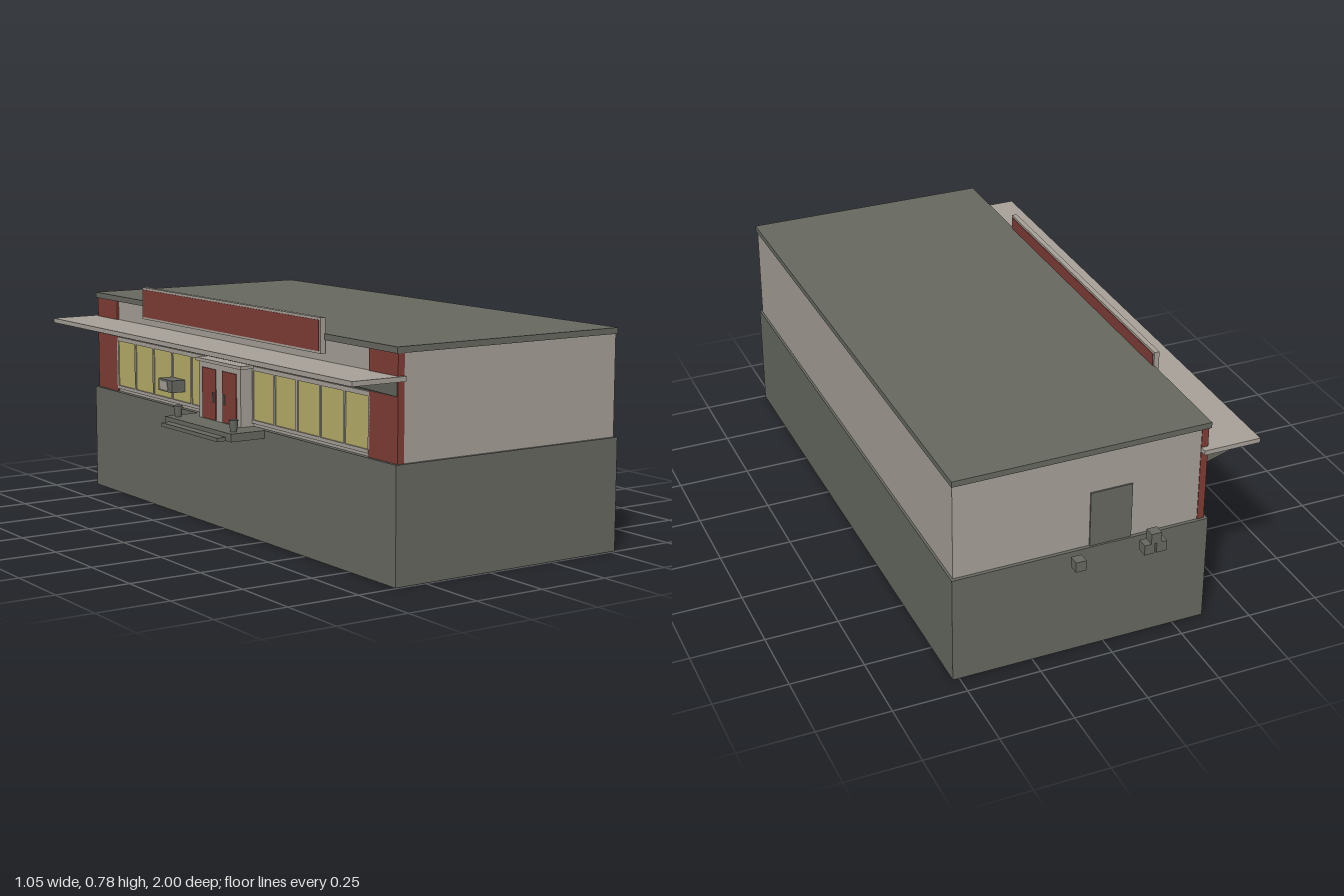
import * as THREE from 'three';

export function createModel() {
  const model = new THREE.Group();
  const mat = (name, color) => {
    const m = new THREE.MeshStandardMaterial({ color });
    m.name = name;
    return m;
  };
  const beige = mat('beige plaster', 0xa7a198);
  const grey = mat('dark grey', 0x676961);
  const red = mat('brick red', 0x803c36);
  const yellow = mat('yellow glass', 0xb9af69);

  // Box given by its minimum and maximum on each axis
  const box = (name, material, x0, x1, y0, y1, z0, z1) => {
    const mesh = new THREE.Mesh(new THREE.BoxGeometry(x1 - x0, y1 - y0, z1 - z0), material);
    mesh.position.set((x0 + x1) / 2, (y0 + y1) / 2, (z0 + z1) / 2);
    mesh.name = name;
    model.add(mesh);
    return mesh;
  };
  const mid = 0.033; // centre of the building along z

  // Main volume
  box('foundation', grey, -0.36, 0.522, 0, 0.377, -0.932, 0.995);
  box('walls', beige, -0.343, 0.514, 0.377, 0.713, -0.92, 0.985);
  box('roof', grey, -0.355, 0.519, 0.713, 0.733, -0.93, 0.99);

  // Red corner panels on the entrance side
  for (const s of [-1, 1]) {
    const inner = mid + s * 0.805, outer = mid + s * 0.955;
    box('cornerPanel', red, -0.35, -0.326, 0.377, 0.713, Math.min(inner, outer), Math.max(inner, outer));
  }

  // Canopy with a sloping soffit
  box('canopy', beige, -0.524, -0.326, 0.628, 0.644, -0.945, 0.998);
  const slope = new THREE.Shape([
    new THREE.Vector2(-0.505, 0.628),
    new THREE.Vector2(-0.345, 0.58),
    new THREE.Vector2(-0.345, 0.628),
  ]);
  const soffit = new THREE.Mesh(new THREE.ExtrudeGeometry(slope, { depth: 1.9, bevelEnabled: false }), grey);
  soffit.position.z = mid - 0.95;
  soffit.name = 'soffit';
  model.add(soffit);

  // Sign board: beige frame with red faces on both sides
  box('signFrame', beige, -0.369, -0.351, 0.67, 0.784, -0.543, 0.603);
  box('signFaceOuter', red, -0.371, -0.368, 0.678, 0.776, -0.535, 0.595);
  box('signFaceInner', red, -0.352, -0.349, 0.678, 0.776, -0.535, 0.595);

  // Window bands, five panes on either side of the entrance
  const pane = 0.134;
  for (const start of [mid - 0.805, mid + 0.135]) {
    const end = start + 5 * pane;
    box('windowBand', yellow, -0.346, -0.342, 0.4, 0.565, start, end);
    box('windowSill', beige, -0.352, -0.342, 0.388, 0.4, start, end);
    box('windowHead', beige, -0.35, -0.342, 0.565, 0.58, start, end);
    for (let i = 0; i <= 5; i++) {
      const z = start + i * pane;
      box('mullion', beige, -0.35, -0.342, 0.4, 0.565, z - 0.005, z + 0.005);
    }
  }

  // Window cooling unit
  box('coolingUnit', grey, -0.398, -0.342, 0.435, 0.478, -0.38, -0.285);
  box('coolingUnitFace', beige, -0.4, -0.397, 0.442, 0.471, -0.365, -0.315);

  // Entrance porch with two doors
  box('porch', beige, -0.395, -0.342, 0.377, 0.572, mid - 0.135, mid + 0.135);
  box('porchCornice', beige, -0.402, -0.342, 0.572, 0.583, mid - 0.145, mid + 0.145);
  for (const s of [-1, 1]) {
    const z = mid + s * 0.066;
    box('entranceDoor', red, -0.398, -0.394, 0.379, 0.553, z - 0.044, z + 0.044);
    box('doorHandle', grey, -0.401, -0.397, 0.44, 0.475, z - s * 0.03 - 0.004, z - s * 0.03 + 0.004);
  }

  // Landing, step and planters
  box('landing', grey, -0.488, -0.355, 0.35, 0.377, mid - 0.21, mid + 0.225);
  box('step', grey, -0.52, -0.48, 0.349, 0.362, mid - 0.18, mid + 0.19);
  for (const s of [-1, 1]) {
    const pot = new THREE.Mesh(new THREE.CylinderGeometry(0.016, 0.011, 0.039, 12), grey);
    pot.position.set(-0.455, 0.3965, mid + 0.005 + s * 0.182);
    pot.name = 'planter';
    model.add(pot);
  }

  // Service door and crates behind the building
  box('serviceDoor', grey, -0.09, 0.054, 0.377, 0.572, -0.925, -0.919);
  for (const [x, y] of [[0.118, 0.346], [-0.161, 0.346], [-0.119, 0.346], [-0.142, 0.382]]) {
    box('crate', grey, x - 0.018, x + 0.018, y, y + 0.036, -0.999, -0.963);
  }

  return model;
}
